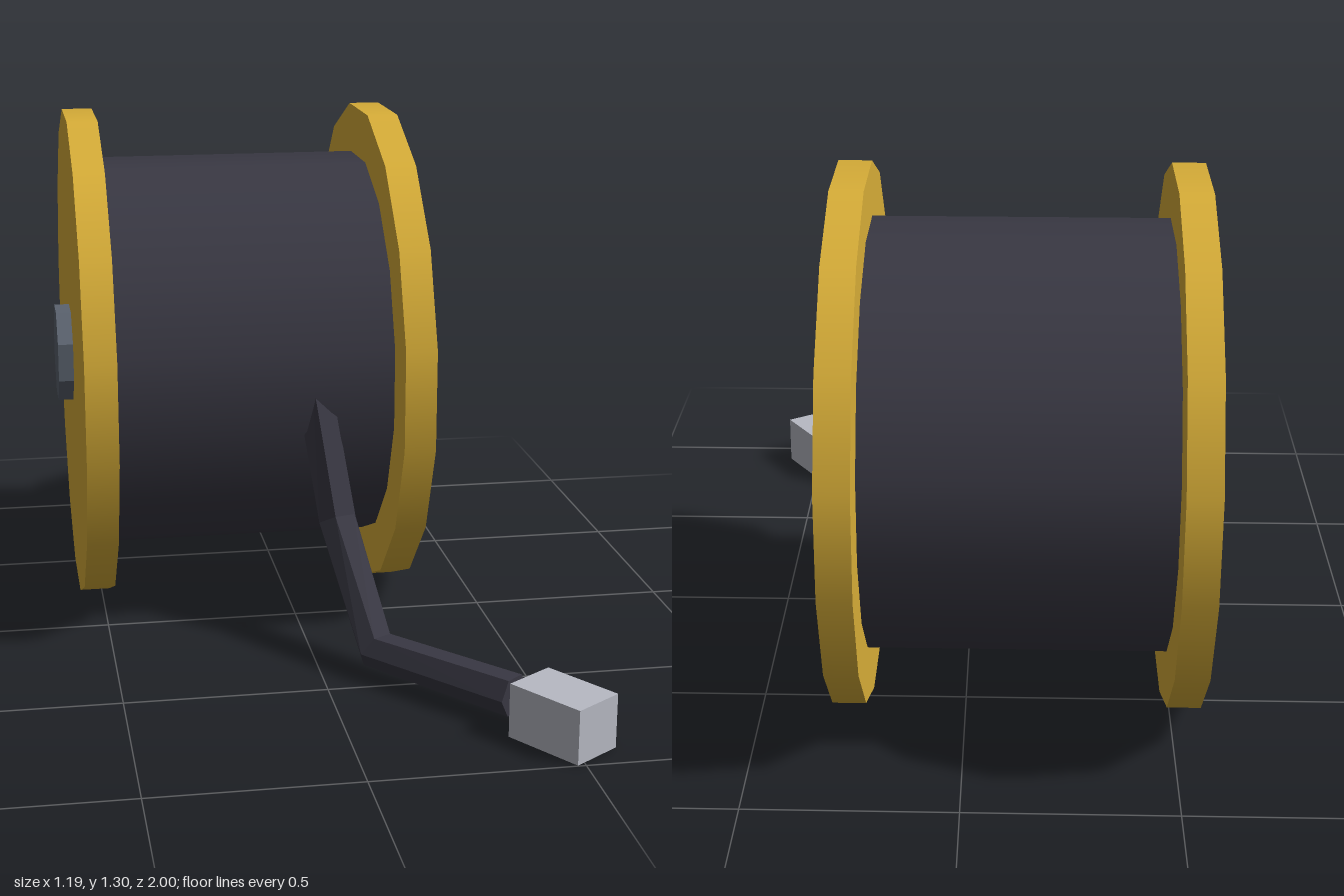
import * as THREE from 'three';

const makeMaterial = (name, color, flatShading = false) => {
  const m = new THREE.MeshStandardMaterial({ color, flatShading });
  m.name = name;
  return m;
};

// Hexagonal cable following a bent path, with closed ends
function cableGeometry(points, radius, sides) {
  const pos = [], index = [], up = new THREE.Vector3(0, 1, 0);
  points.forEach((p, i) => {
    const dir = new THREE.Vector3();
    if (i > 0) dir.add(p.clone().sub(points[i - 1]).normalize());
    if (i < points.length - 1) dir.add(points[i + 1].clone().sub(p).normalize());
    dir.normalize();
    const side = new THREE.Vector3().crossVectors(up, dir).normalize();
    const top = new THREE.Vector3().crossVectors(dir, side);
    for (let k = 0; k < sides; k++) {
      const a = (k / sides) * Math.PI * 2;
      const v = p.clone().addScaledVector(side, Math.cos(a) * radius).addScaledVector(top, Math.sin(a) * radius);
      pos.push(v.x, v.y, v.z);
    }
  });
  for (let i = 0; i < points.length - 1; i++) {
    for (let k = 0; k < sides; k++) {
      const a = i * sides + k, b = i * sides + (k + 1) % sides;
      index.push(a, b, b + sides, a, b + sides, a + sides);
    }
  }
  const last = (points.length - 1) * sides;
  for (let k = 1; k < sides - 1; k++) {
    index.push(0, k + 1, k, last, last + k, last + k + 1);
  }
  const g = new THREE.BufferGeometry();
  g.setAttribute('position', new THREE.Float32BufferAttribute(pos, 3));
  g.setIndex(index);
  const flat = g.toNonIndexed();
  flat.computeVertexNormals();
  return flat;
}

export function createModel() {
  const model = new THREE.Group();
  model.name = 'cableReel';
  const yellow = makeMaterial('yellow flange', 0xd8ae38);
  const black = makeMaterial('dark cable', 0x393843);
  const steel = makeMaterial('steel axle', 0x5b636f, true);
  const grey = makeMaterial('grey plug', 0xb8bac4);

  const add = (name, geometry, material) => {
    const mesh = new THREE.Mesh(geometry, material);
    mesh.name = name;
    model.add(mesh);
    return mesh;
  };

  // Prism lying along x between x0 and x1, with a flat side on top
  const disc = (name, apothem, sides, x0, x1, material) => {
    const r = apothem / Math.cos(Math.PI / sides);
    const g = new THREE.CylinderGeometry(r, r, x1 - x0, sides, 1, false, Math.PI / sides);
    g.rotateZ(Math.PI / 2);
    add(name, g, material).position.set((x0 + x1) / 2, 0.658, -0.357);
  };

  // Reel
  disc('leftFlange', 0.643, 16, 0.23, 0.31, yellow);
  disc('rightFlange', 0.643, 16, -0.56, -0.48, yellow);
  disc('woundCable', 0.514, 16, -0.48, 0.23, black);
  disc('axle', 0.121, 8, -0.6, 0.35, steel);

  // Loose cable end
  const path = [[0.03, 0.68, 0.09], [0.075, 0.335, 0.21], [0.135, 0.068, 0.43], [0.4, 0.067, 0.75]]
    .map((p) => new THREE.Vector3(...p));
  add('looseCable', cableGeometry(path, 0.052, 6), black);

  // Plug
  const plug = add('plug', new THREE.BoxGeometry(0.136, 0.133, 0.205), grey);
  plug.position.set(0.48, 0.067, 0.875);
  plug.rotation.y = 0.595;

  return model;
}
